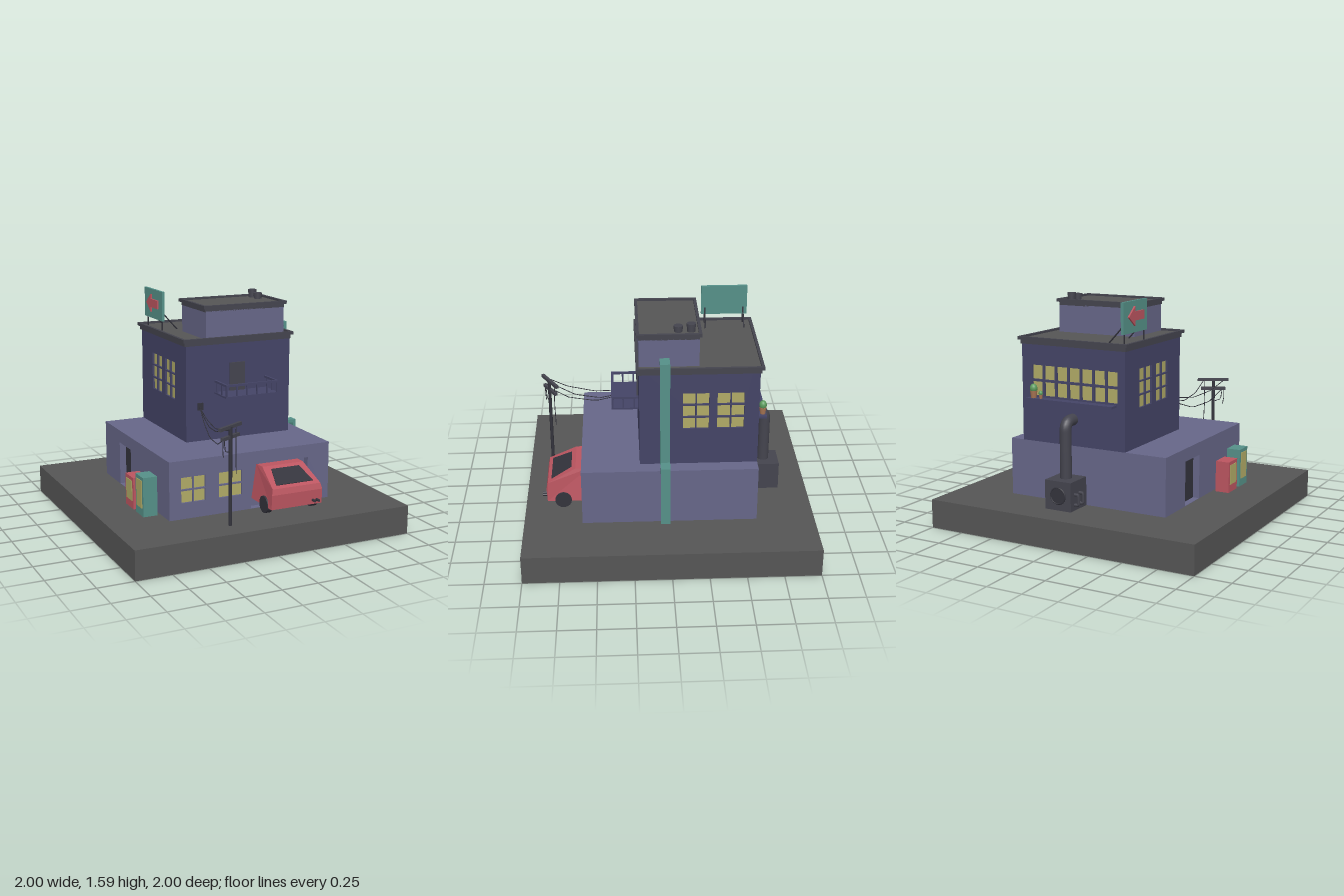
import * as THREE from 'three';

const COL = { ground: 0x555555, light: 0x666688, dark: 0x444466, trim: 0x44444e, black: 0x33333c,
  teal: 0x559088, red: 0xbb5560, glass: 0xb0aa66, green: 0x5a9a5c, clay: 0xaa7755 };
const mats = {};
const mat = (c) => (mats[c] ??= new THREE.MeshStandardMaterial({ color: COL[c] }));

function add(parent, name, geo, c, x = 0, y = 0, z = 0) {
  const m = new THREE.Mesh(geo, mat(c));
  m.name = name;
  m.position.set(x, y, z);
  parent.add(m);
  return m;
}
// box given by its min and max on each axis
const box = (p, name, c, x0, x1, y0, y1, z0, z1) =>
  add(p, name, new THREE.BoxGeometry(x1 - x0, y1 - y0, z1 - z0), c, (x0 + x1) / 2, (y0 + y1) / 2, (z0 + z1) / 2);
const cyl = (p, name, c, r, h, x, y, z, seg = 16, rt = r) =>
  add(p, name, new THREE.CylinderGeometry(rt, r, h, seg), c, x, y, z);
const V = (a) => new THREE.Vector3(...a);
// polyline tube through points
function tube(p, name, c, pts, r, seg = 6) {
  const path = new THREE.CurvePath();
  for (let i = 1; i < pts.length; i++) path.add(new THREE.LineCurve3(V(pts[i - 1]), V(pts[i])));
  return add(p, name, new THREE.TubeGeometry(path, (pts.length - 1) * 4, r, seg), c);
}
function group(parent, name) {
  const g = new THREE.Group();
  g.name = name;
  parent.add(g);
  return g;
}
const rect = (Type, x0, x1, y0, y1) => new Type([[x0, y0], [x1, y0], [x1, y1], [x0, y1]].map((a) => new THREE.Vector2(...a)));

const T = 0.05; // wall thickness
// wall slab with recessed openings; local x runs to the right seen from outside
function facade(parent, name, c, w, y0, y1, x, z, rot, openings) {
  const g = group(parent, name);
  g.position.set(x, 0, z);
  g.rotation.y = rot;
  const s = rect(THREE.Shape, -w / 2, w / 2, y0, y1);
  for (const o of openings) {
    s.holes.push(rect(THREE.Path, o.x0, o.x1, o.y0, o.y1));
    if (o.c) box(g, o.name, o.c, o.x0, o.x1, o.y0, o.y1, -T, -T + (o.in ?? 0.035));
  }
  add(g, 'wall', new THREE.ExtrudeGeometry(s, { depth: T, bevelEnabled: false }), c, 0, 0, -T);
}
// grid of window panes
function panes(x0, x1, y0, y1, nx, ny, gap = 0.01) {
  const out = [], w = (x1 - x0 + gap) / nx, h = (y1 - y0 + gap) / ny;
  for (let i = 0; i < nx; i++) for (let j = 0; j < ny; j++) out.push({ name: 'windowPane', c: 'glass',
    x0: x0 + i * w, x1: x0 + (i + 1) * w - gap, y0: y0 + j * h, y1: y0 + (j + 1) * h - gap });
  return out;
}
// storey made of four facades round a core
function storey(parent, name, c, x0, x1, y0, y1, z0, z1, o) {
  const g = group(parent, name), cx = (x0 + x1) / 2, cz = (z0 + z1) / 2;
  box(g, 'core', c, x0 + T, x1 - T, y0, y1, z0 + T, z1 - T);
  facade(g, 'frontWall', c, x1 - x0, y0, y1, cx, z1, 0, o.front ?? []);
  facade(g, 'backWall', c, x1 - x0, y0, y1, cx, z0, Math.PI, o.back ?? []);
  facade(g, 'leftWall', c, z1 - z0 - 2 * T, y0, y1, x1, cz, Math.PI / 2, o.left ?? []);
  facade(g, 'rightWall', c, z1 - z0 - 2 * T, y0, y1, x0, cz, -Math.PI / 2, o.right ?? []);
}
// stepped cornice with a raised rim round a flat roof
function roof(parent, name, x0, x1, z0, z1, y0, y1) {
  const g = group(parent, name), b = 0.015, ym = y1 - 0.022;
  box(g, 'lowerCornice', 'trim', x0 + b, x1 - b, y0, ym, z0 + b, z1 - b);
  const s = rect(THREE.Shape, x0, x1, -z1, -z0);
  s.holes.push(rect(THREE.Path, x0 + 0.02, x1 - 0.02, -z1 + 0.02, -z0 - 0.02));
  add(g, 'rim', new THREE.ExtrudeGeometry(s, { depth: y1 - ym, bevelEnabled: false }), 'trim', 0, ym).rotation.x = -Math.PI / 2;
  box(g, 'roofFloor', 'ground', x0 + 0.019, x1 - 0.019, ym - 0.005, ym + 0.008, z0 + 0.019, z1 - 0.019);
}

function car(parent) {
  const g = group(parent, 'car');
  g.position.x = 0.215;
  const side = [[0.845, 0.26], [0.85, 0.36], [0.84, 0.4], [0.645, 0.5], [0.555, 0.5], [0.555, 0.26]];
  const geo = new THREE.ExtrudeGeometry(new THREE.Shape(side.map((a) => new THREE.Vector2(...a))), { depth: 0.38, bevelEnabled: false });
  geo.translate(0, 0, -0.19).rotateY(-Math.PI / 2);
  // narrow the cabin towards the roof
  const p = geo.attributes.position;
  for (let i = 0; i < p.count; i++) p.setX(i, p.getX(i) * (1 - Math.max(0, p.getY(i) - 0.36) * 1.3));
  geo.computeVertexNormals();
  add(g, 'carBody', geo, 'red');
  // window lying on the sloped face
  const pane = new THREE.Shape([[-0.14, 0.03], [0.14, 0.03], [0.105, 0.185], [-0.105, 0.185]].map((a) => new THREE.Vector2(...a)));
  add(g, 'carWindow', new THREE.ExtrudeGeometry(pane, { depth: 0.004, bevelEnabled: false }), 'black', 0, 0.4, 0.84)
    .rotation.x = -Math.atan2(0.195, 0.1);
  for (const s of [-1, 1]) {
    cyl(g, 'wheel', 'black', 0.058, 0.04, s * 0.173, 0.268, 0.735, 20).rotation.z = Math.PI / 2;
  }
  for (const x of [0.12, 0.15]) cyl(g, 'exhaust', 'black', 0.009, 0.05, x, 0.29, 0.855, 8).rotation.x = Math.PI / 2;
}

function utilityPole(parent) {
  const g = group(parent, 'utilityPole');
  cyl(g, 'pole', 'black', 0.012, 0.66, -0.275, 0.53, 0.84, 10);
  for (const [y, w] of [[0.86, 0.235], [0.793, 0.185]]) {
    add(g, 'crossArm', new THREE.BoxGeometry(w, 0.022, 0.022), 'trim', -0.275, y, 0.835).rotation.y = 0.51;
  }
  // sagging cables from the arms to the wall bracket
  const end = [-0.2, 0.845, 0.205];
  for (const [a, sag] of [[[-0.35, 0.86, 0.88], 0.075], [[-0.215, 0.86, 0.8], 0.1], [[-0.335, 0.79, 0.87], 0.12]]) {
    const pts = [0, 0.25, 0.55, 0.8, 1].map((t) => a.map((v, k) => v + (end[k] - v) * t - (k === 1 ? sag * 4 * t * (1 - t) : 0)));
    tube(g, 'cable', 'black', pts, 0.003, 5);
  }
  tube(g, 'looseCable', 'black', [[-0.345, 0.79, 0.875], [-0.347, 0.72, 0.875], [-0.34, 0.675, 0.87]], 0.003, 5);
  tube(g, 'looseCable', 'black', [[-0.215, 0.86, 0.8], [-0.22, 0.7, 0.805], [-0.213, 0.53, 0.8]], 0.003, 5);
  tube(g, 'looseCable', 'black', [[-0.335, 0.79, 0.87], [-0.325, 0.71, 0.865], [-0.275, 0.69, 0.84]], 0.003, 5);
  box(g, 'wallBracket', 'black', -0.215, -0.175, 0.82, 0.87, 0.2, 0.21);
}

function balcony(parent) {
  const g = group(parent, 'balcony');
  box(g, 'balconyDoor', 'trim', 0.03, 0.145, 0.935, 1.135, 0.2, 0.21);
  box(g, 'balconyFloor', 'dark', -0.085, 0.315, 0.925, 0.937, 0.2, 0.385);
  box(g, 'frontRail', 'dark', -0.085, 0.315, 1.005, 1.02, 0.37, 0.385);
  for (let i = 0; i < 6; i++) box(g, 'post', 'dark', -0.083 + i * 0.077, -0.072 + i * 0.077, 0.93, 1.01, 0.372, 0.383);
  for (const x of [-0.085, 0.3]) {
    box(g, 'sideRail', 'dark', x, x + 0.015, 1.005, 1.02, 0.2, 0.372);
    for (const z of [0.225, 0.3]) box(g, 'post', 'dark', x + 0.002, x + 0.013, 0.93, 1.01, z, z + 0.011);
  }
}

function ventUnit(parent) {
  const g = group(parent, 'ventUnit');
  box(g, 'ventBox', 'trim', 0, 0.2, 0.2, 0.4, -0.8, -0.6);
  const path = new THREE.CurvePath();
  path.add(new THREE.LineCurve3(V([0.1, 0.39, -0.695]), V([0.1, 0.72, -0.695])));
  path.add(new THREE.QuadraticBezierCurve3(V([0.1, 0.72, -0.695]), V([0.1, 0.782, -0.695]), V([0.1, 0.782, -0.635])));
  path.add(new THREE.LineCurve3(V([0.1, 0.782, -0.635]), V([0.1, 0.782, -0.59])));
  add(g, 'duct', new THREE.TubeGeometry(path, 40, 0.04, 16), 'trim');
  add(g, 'fanRing', new THREE.TorusGeometry(0.055, 0.006, 6, 24), 'black', 0.1, 0.3, -0.8);
  cyl(g, 'fanDisc', 'black', 0.052, 0.008, 0.1, 0.3, -0.8, 24).rotation.x = Math.PI / 2;
  for (const z of [-0.75, -0.69]) {
    tube(g, 'sidePipe', 'trim', [[0.01, 0.31, z], [-0.03, 0.31, z], [-0.03, 0.24, z], [0.01, 0.24, z]], 0.011, 8);
  }
}

export function createModel() {
  const root = new THREE.Group();
  root.name = 'streetCornerBuilding';
  box(root, 'ground', 'ground', -1, 1, 0, 0.2, -1, 1);

  storey(root, 'lowerStorey', 'light', -0.6, 0.6, 0.2, 0.6, -0.6, 0.6, {
    front: [...panes(-0.515, -0.34, 0.31, 0.485, 2, 2), ...panes(-0.24, -0.07, 0.31, 0.485, 2, 2),
      { x0: 0, x1: 0.435, y0: 0.202, y1: 0.51 }],
    right: [{ name: 'sideDoor', c: 'black', in: 0.003, x0: -0.31, x1: -0.09, y0: 0.202, y1: 0.51 }],
  });
  storey(root, 'tower', 'dark', -0.3, 0.5, 0.6, 1.28, -0.6, 0.2, {
    left: [...panes(-0.11, 0.065, 0.865, 1.13, 2, 3), ...panes(0.12, 0.3, 0.865, 1.13, 2, 3)],
    right: [...panes(-0.2, -0.025, 0.865, 1.13, 2, 3), ...panes(0.035, 0.21, 0.865, 1.13, 2, 3)],
    back: panes(-0.32, 0.345, 0.92, 1.13, 7, 2, 0.016),
  });
  roof(root, 'towerRoof', -0.325, 0.52, -0.625, 0.22, 1.27, 1.32);
  box(root, 'penthouse', 'light', -0.15, 0.45, 1.29, 1.5, -0.2, 0.2);
  roof(root, 'penthouseRoof', -0.17, 0.465, -0.215, 0.215, 1.495, 1.54);
  for (const [z, top] of [[-0.148, 1.582], [-0.063, 1.568]]) {
    cyl(root, 'roofVent', 'trim', 0.027, top - 1.51, 0.38, (top + 1.51) / 2, z);
    cyl(root, 'roofVentCap', 'trim', 0.031, 0.022, 0.38, top - 0.011, z);
  }

  // stepped drainpipe
  const drain = group(root, 'drainpipe');
  for (const [x0, x1, y0, y1] of [[0.44, 0.55, 1.342, 1.367], [0.528, 0.55, 0.635, 1.342],
    [0.528, 0.638, 0.613, 0.635], [0.616, 0.638, 0.2, 0.613]]) box(drain, 'pipeSection', 'teal', x0, x1, y0, y1, -0.003, 0.063);

  // billboard with an arrow facing the side street
  const sign = group(root, 'billboard');
  box(sign, 'board', 'teal', -0.28, -0.26, 1.375, 1.585, -0.585, -0.26);
  const arrow = new THREE.Shape([[-0.105, 0], [-0.02, 0.065], [-0.02, 0.03], [0.105, 0.03], [0.105, -0.03], [-0.02, -0.03], [-0.02, -0.065]]
    .map((a) => new THREE.Vector2(...a)));
  add(sign, 'arrow', new THREE.ExtrudeGeometry(arrow, { depth: 0.012, bevelEnabled: false }), 'red', -0.28, 1.485, -0.425).rotation.y = -Math.PI / 2;
  for (const z of [-0.285, -0.556]) {
    tube(sign, 'leg', 'black', [[-0.268, 1.3, z], [-0.268, 1.4, z]], 0.005);
    tube(sign, 'brace', 'black', [[-0.26, 1.425, z], [-0.155, 1.31, z]], 0.005);
  }

  balcony(root);
  car(root);
  utilityPole(root);
  ventUnit(root);

  // vending machines
  for (const [c, z0, z1, top] of [['red', 0.13, 0.275, 0.42], ['teal', 0.32, 0.455, 0.47]]) {
    const g = group(root, 'vendingMachine');
    box(g, 'cabinet', c, -0.725, -0.625, 0.2, top, z0, z1);
    box(g, 'displayPanel', 'glass', -0.729, -0.72, 0.255, top - 0.025, z0 + 0.02, z1 - 0.02);
  }

  // window ledge with potted cacti
  box(root, 'windowLedge', 'dark', -0.235, 0.43, 0.895, 0.91, -0.665, -0.6);
  for (const [x, s] of [[0.385, 1], [0.328, 0.55]]) {
    const g = group(root, 'pottedCactus');
    g.position.set(x, 0.91, -0.64);
    g.scale.setScalar(s);
    cyl(g, 'pot', 'clay', 0.018, 0.05, 0, 0.025, 0, 12, 0.025);
    add(g, 'cactus', new THREE.SphereGeometry(0.026, 14, 10), 'green', 0, 0.065, 0).scale.y = 1.25;
  }
  return root;
}
